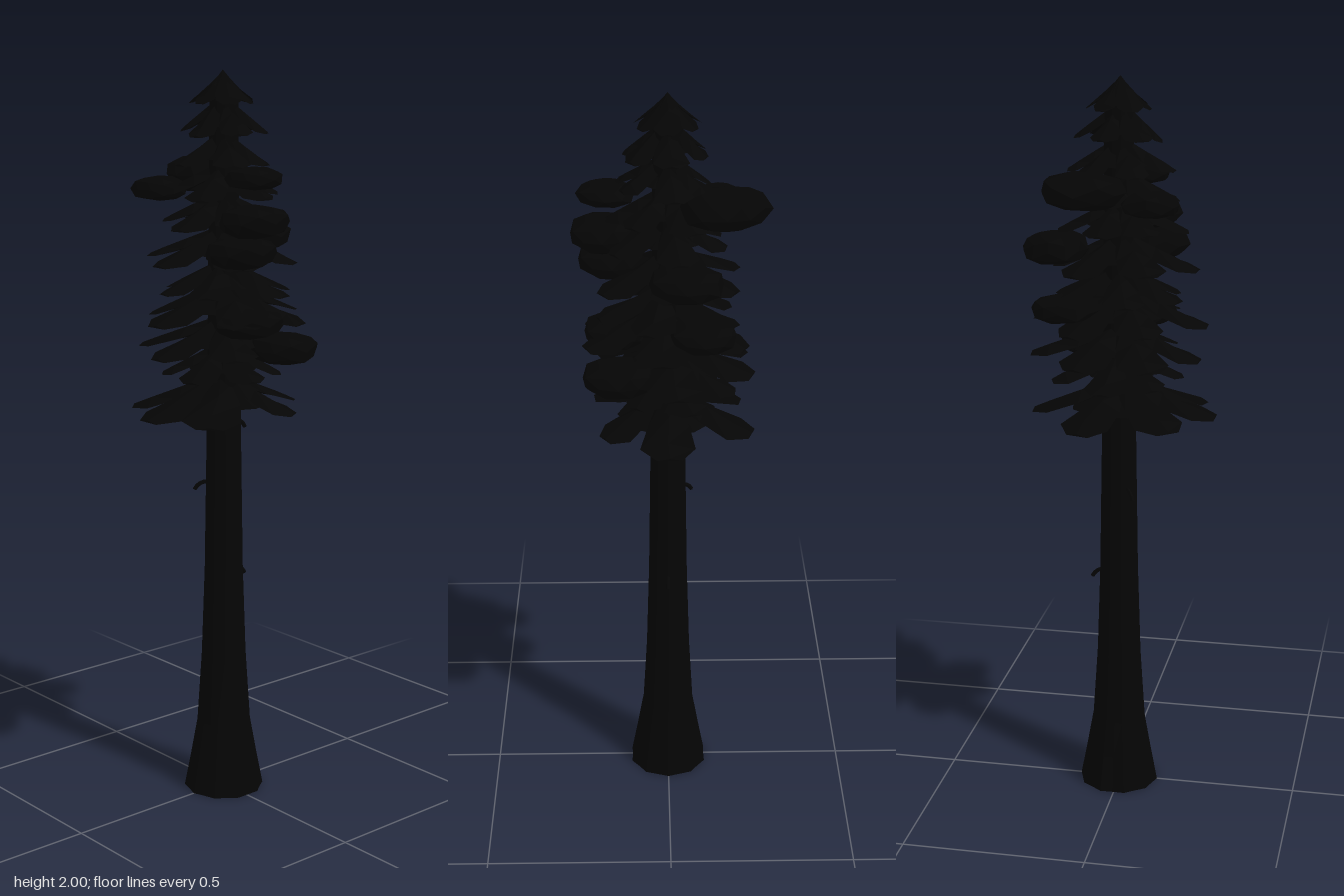
import * as THREE from 'three';

const dark = new THREE.MeshStandardMaterial({ color: 0x050505, flatShading: true });

// Small seeded generator, in the range 0..1
let seed = 7;
const rnd = () => {
  seed = (seed * 16807) % 2147483647;
  return seed / 2147483647;
};

// Closed skin over rings that all have the same number of points
function loft(rings) {
  const n = rings[0].length;
  const last = (rings.length - 1) * n;
  const index = [];
  for (let i = 0; i < rings.length - 1; i++) {
    for (let j = 0; j < n; j++) {
      const a = i * n + j, b = i * n + ((j + 1) % n);
      index.push(a, a + n, b, b, a + n, b + n);
    }
  }
  for (let k = 1; k < n - 1; k++) {
    index.push(0, k, k + 1, last, last + k + 1, last + k);
  }
  const geo = new THREE.BufferGeometry();
  geo.setAttribute('position', new THREE.Float32BufferAttribute(rings.flat(2), 3));
  geo.setIndex(index);
  geo.computeVertexNormals();
  return geo;
}

function add(parent, name, geo) {
  const mesh = new THREE.Mesh(geo, dark);
  mesh.name = name;
  parent.add(mesh);
  return mesh;
}

// Tapered trunk, fluted where it flares out at the base
function trunkGeometry() {
  const profile = [[0, 0.108], [0.1, 0.09], [0.2, 0.073], [0.4, 0.061], [0.65, 0.053],
    [1.1, 0.046], [1.5, 0.042], [1.925, 0.038]];
  const sides = 20;
  return loft(profile.map(([y, r]) => Array.from({ length: sides }, (_, j) => {
    const a = (j / sides) * Math.PI * 2;
    const flute = 1 + 0.03 * Math.max(0, 1 - y / 0.6) * (j % 2 ? -1 : 1);
    return [Math.cos(a) * r * flute + 0.004, y, Math.sin(a) * r * flute];
  })));
}

// Drooping fan-shaped bough from the trunk (r0, y0) out to its tip (r1, y1)
function boughGeometry(r0, y0, r1, y1, halfWidth, thick) {
  const sections = [[0, 0.35, 1], [0.4, 0.75, 0.8], [0.78, 1, 0.4], [1, 0.45, 0.1]];
  return loft(sections.map(([t, w, h]) => {
    const x = r0 + (r1 - r0) * t;
    const y = y0 + (y1 - y0) * Math.pow(t, 0.85);
    const z = halfWidth * w;
    const skew = (rnd() - 0.5) * 0.2 * z;
    const sag = thick * 0.3 * w;
    return [[x, y - sag, z + skew], [x, y + thick * h, skew],
      [x, y - sag, skew - z], [x, y - thick * h * 0.5, skew]];
  }));
}

// Flattened, blocky foliage clump with facets
function clumpGeometry(rx, ry, rz) {
  const geo = new THREE.IcosahedronGeometry(1, 1);
  const p = geo.attributes.position;
  const v = new THREE.Vector3();
  for (let i = 0; i < p.count; i++) {
    v.fromBufferAttribute(p, i);
    const k = 1 + 0.06 * Math.sin(v.x * 7 + v.y * 5 + v.z * 9 + rx * 90);
    const flatY = Math.sign(v.y) * Math.pow(Math.abs(v.y), 0.7);
    p.setXYZ(i, v.x * rx * k, flatY * ry * k, v.z * rz * k);
  }
  geo.computeVertexNormals();
  return geo;
}

export function createModel() {
  const tree = new THREE.Group();
  tree.name = 'conifer';
  add(tree, 'trunk', trunkGeometry());

  // Lowest boughs: turn in degrees, reach
  const lowest = [[180, 0.26], [222, 0.265], [132, 0.245], [1, 0.24], [302, 0.2], [72, 0.235]];
  // Tiers of boughs: tip height, reach, turn in degrees, drop
  const tiers = [
    [1.09, 0.262, 180, 0.08],
    [1.19, 0.185, 20, 0.06],
    [1.255, 0.24, 5, 0.07],
    [1.345, 0.235, 182, 0.075],
    [1.415, 0.19, 40, 0.06],
    [1.5, 0.21, 176, 0.065],
    [1.595, 0.18, 190, 0.06],
    [1.67, 0.165, 25, 0.06],
    [1.75, 0.145, 178, 0.06],
    [1.832, 0.12, 3, 0.065],
  ];
  tiers.forEach(([y, reach, turn, drop], t) => {
    const tier = new THREE.Group();
    tier.name = `boughTier${t + 1}`;
    const evenly = Array.from({ length: 6 }, (_, i) => i === 0 ? [turn, reach]
      : [turn + (i + (rnd() - 0.5) * 0.3) * 60, reach * (0.84 + 0.16 * rnd())]);
    for (const [angle, r] of t === 0 ? lowest : evenly) {
      const bough = add(tier, 'bough',
        boughGeometry(0.02, y + drop, r, y + rnd() * 0.012, 0.02 + r * 0.22, 0.024));
      bough.rotation.y = THREE.MathUtils.degToRad(angle);
    }
    // Short inner skirt that closes the tier around the trunk
    const skirt = add(tier, 'innerSkirt', new THREE.ConeGeometry(reach * 0.52, drop * 0.8, 9));
    skirt.position.y = y + drop * 0.75;
    skirt.rotation.y = t;
    tree.add(tier);
  });

  // Pointed crown on top
  const crown = new THREE.Group();
  crown.name = 'crownTip';
  for (let i = 0; i < 6; i++) {
    const bough = add(crown, 'crownBough', boughGeometry(0, 1.985, i % 2 ? 0.08 : 0.09, 1.915, 0.036, 0.012));
    bough.rotation.y = (i / 6) * Math.PI * 2;
  }
  const peak = add(crown, 'peak', new THREE.ConeGeometry(0.05, 0.06, 7));
  peak.position.y = 1.97;
  tree.add(crown);

  // Foliage clumps: centre, then radii
  const clumps = [
    [0.07, 1.72, -0.145, 0.115, 0.048, 0.115],
    [-0.105, 1.69, -0.135, 0.075, 0.032, 0.078],
    [-0.03, 1.73, 0.16, 0.075, 0.029, 0.078],
    [0.165, 1.555, -0.045, 0.085, 0.042, 0.1],
    [-0.04, 1.62, 0.168, 0.095, 0.043, 0.09],
    [-0.065, 1.54, 0.145, 0.095, 0.042, 0.095],
    [0.13, 1.4, -0.09, 0.09, 0.035, 0.09],
    [-0.03, 1.35, 0.135, 0.1, 0.036, 0.09],
    [0.1, 1.27, 0.13, 0.09, 0.042, 0.1],
  ];
  const foliage = new THREE.Group();
  foliage.name = 'foliageClumps';
  for (const [x, y, z, rx, ry, rz] of clumps) {
    add(foliage, 'clump', clumpGeometry(rx, ry, rz)).position.set(x, y, z);
  }
  tree.add(foliage);

  // Dead twigs on the bare trunk: height, turn in degrees
  for (const [y, turn] of [[1.05, 0], [0.63, 0], [0.88, 125]]) {
    const path = new THREE.QuadraticBezierCurve3(
      new THREE.Vector3(0.04, y + 0.01, 0),
      new THREE.Vector3(0.068, y + 0.008, 0),
      new THREE.Vector3(0.08, y - 0.015, 0));
    const twig = add(tree, 'twig', new THREE.TubeGeometry(path, 4, 0.006, 5));
    twig.rotation.y = THREE.MathUtils.degToRad(turn);
  }
  return tree;
}
